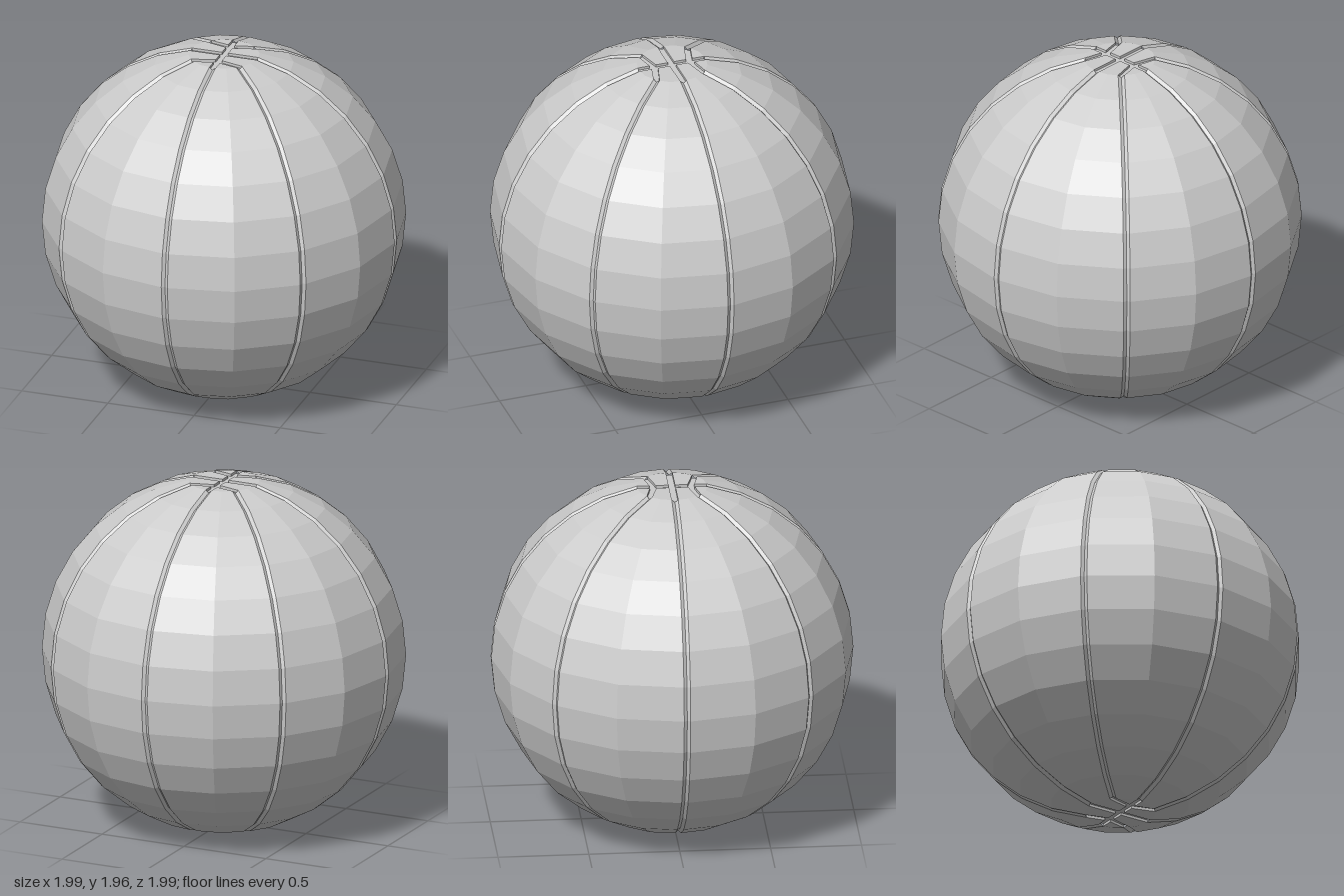
import * as THREE from 'three';

const SIDES = 16, STEP = Math.PI / 16;
const W = 0.018, D = 0.015;            // groove half width and depth
const CY = Math.cos(STEP);             // centre height; flat caps at +-CY

const material = new THREE.MeshStandardMaterial({ color: 0xcccccc, flatShading: true });

const corner = (i, r) => {
  const a = (i * 2 * Math.PI) / SIDES;
  return new THREE.Vector2(r * Math.cos(a), r * Math.sin(a));
};
// Point at a groove rim: corner i moved by W towards its neighbour
const rim = (i, dir, r) => {
  const v = corner(i, r), n = corner(i + dir, r);
  return v.lerp(n, W / v.distanceTo(n));
};

// One horizontal section, with a groove on every second corner
function section(lat) {
  const r = Math.cos(lat), y = Math.sin(lat), pts = [];
  const put = (p, s = 1) => pts.push([p.x * s, y * s, p.y * s]);
  for (let i = 0; i < SIDES; i++) {
    if (i % 2) put(corner(i, r));
    else {
      put(rim(i, -1, r));
      put(corner(i, r), 1 - D);
      put(rim(i, 1, r));
    }
  }
  return pts;
}

function shellGeometry() {
  const pos = [], idx = [];
  const rings = 15;
  let n = 0;
  for (let j = 0; j < rings; j++) {
    const pts = section((j - 7) * STEP);
    n = pts.length;
    pts.forEach(p => pos.push(...p));
  }
  for (let j = 0; j < rings - 1; j++) {
    for (let i = 0; i < n; i++) {
      const a = j * n + i, c = j * n + ((i + 1) % n);
      idx.push(a, a + n, c, c, a + n, c + n);
    }
  }
  const g = new THREE.BufferGeometry();
  g.setAttribute('position', new THREE.Float32BufferAttribute(pos, 3));
  g.setIndex(idx);
  g.computeVertexNormals();
  return g;
}

// Flat pole: raised panels on a floor, the gaps between them are the grooves
function poleCap() {
  const cap = new THREE.Group();
  const r = Math.sin(STEP), depth = CY * D;

  const floor = new THREE.Mesh(new THREE.CircleGeometry(r * (1 - D), SIDES), material);
  floor.name = 'grooveFloor';
  floor.rotation.x = -Math.PI / 2;
  floor.position.y = CY - depth;
  cap.add(floor);

  const inner = [new THREE.Vector2(W, W), rim(0, 1, r), corner(1, r), rim(2, -1, r),
    new THREE.Vector2(W, 0.105 - W)];
  const outer = [new THREE.Vector2(W, 0.105 + W), rim(2, 1, r), corner(3, r), rim(4, -1, r)];

  for (const sx of [1, -1]) for (const sz of [1, -1]) for (const outline of [inner, outer]) {
    const shape = new THREE.Shape(outline.map(p => new THREE.Vector2(p.x * sx, p.y * sz)));
    const g = new THREE.ExtrudeGeometry(shape, { depth, bevelEnabled: false });
    g.rotateX(-Math.PI / 2);
    const panel = new THREE.Mesh(g, material);
    panel.name = 'polePanel';
    panel.position.y = CY - depth;
    cap.add(panel);
  }
  return cap;
}

export function createModel() {
  const model = new THREE.Group();
  model.name = 'groovedBall';
  const ball = new THREE.Group();
  ball.name = 'ball';
  ball.position.y = CY;

  const shell = new THREE.Mesh(shellGeometry(), material);
  shell.name = 'shell';
  ball.add(shell);

  const top = poleCap();
  top.name = 'topCap';
  const bottom = poleCap();
  bottom.name = 'bottomCap';
  bottom.rotation.x = Math.PI;
  ball.add(top, bottom);

  model.add(ball);
  return model;
}
